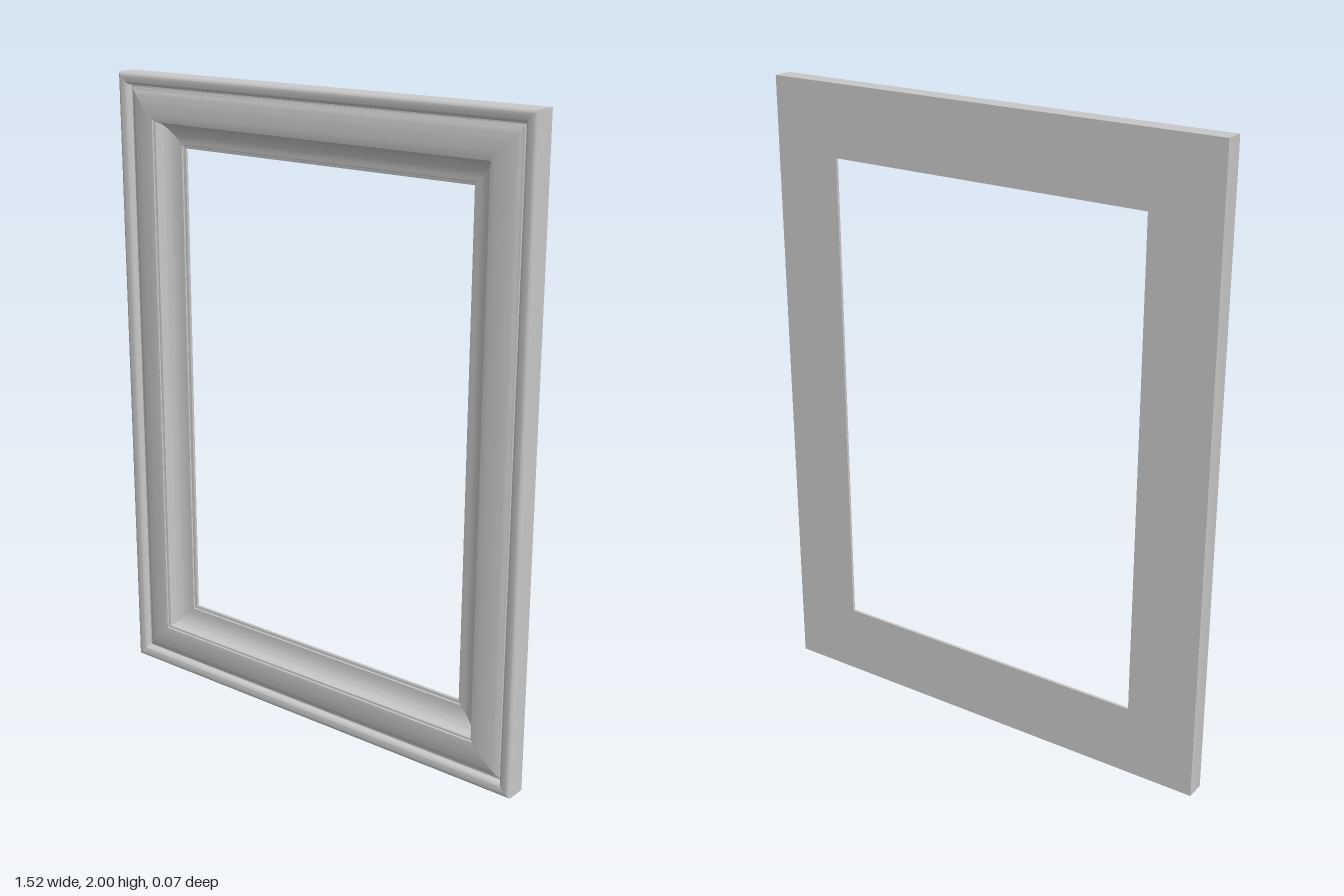
import * as THREE from 'three';
import { toCreasedNormals } from 'three/addons/utils/BufferGeometryUtils.js';

const HALF_W = 0.76, HALF_H = 1;

// Moulding profile: [distance in from the outer edge, z]
function mouldingProfile() {
  const p = [[0, -0.035], [0, 0.024]];
  const arc = (d0, z0, rd, rz, from, to, n) => {
    for (let i = 1; i <= n; i++) {
      const a = from + (to - from) * i / n;
      p.push([d0 + rd * Math.cos(a), z0 + rz * Math.sin(a)]);
    }
  };
  arc(0.011, 0.024, 0.011, 0.011, Math.PI, Math.PI / 2, 5);    // rounded outer rim
  p.push([0.022, 0.035]);
  arc(0.022, 0.023, 0.016, 0.012, Math.PI / 2, 0, 5);          // rim falls into groove
  p.push([0.040, 0.013], [0.047, 0.013], [0.047, 0.018]);      // groove and fillet
  arc(0.128, 0.018, 0.077, 0.013, Math.PI * 0.93, Math.PI / 2, 8); // broad swell
  p.push([0.138, 0.030], [0.139, 0.025], [0.146, 0.024]);      // small step
  arc(0.214, 0.020, 0.066, 0.041, Math.PI, Math.PI * 1.5, 10); // cove to the opening
  p.push([0.216, -0.025], [0.225, -0.026], [0.225, -0.035]);   // sight edge
  return p;
}

// One mitred bar of the frame; corners are [x sign, y sign], counter-clockwise
function barGeometry(profile, [ax, ay], [bx, by]) {
  const pos = [];
  const at = (sx, sy, [d, z]) => [sx * (HALF_W - d), HALF_H + sy * (HALF_H - d), z];
  profile.forEach((p, i) => {
    const q = profile[(i + 1) % profile.length];
    const a = at(ax, ay, p), b = at(bx, by, p), c = at(bx, by, q), d = at(ax, ay, q);
    pos.push(...a, ...b, ...c, ...a, ...c, ...d);
  });
  const g = new THREE.BufferGeometry();
  g.setAttribute('position', new THREE.Float32BufferAttribute(pos, 3));
  return toCreasedNormals(g, 0.55);
}

export function createModel() {
  const group = new THREE.Group();
  group.name = 'pictureFrame';
  const grey = new THREE.MeshStandardMaterial({ color: 0xc8c8c8 });
  grey.name = 'pale grey';

  const profile = mouldingProfile();
  const corners = [[-1, -1], [1, -1], [1, 1], [-1, 1]];
  ['bottomRail', 'leftStile', 'topRail', 'rightStile'].forEach((name, i) => {
    const mesh = new THREE.Mesh(barGeometry(profile, corners[i], corners[(i + 1) % 4]), grey);
    mesh.name = name;
    group.add(mesh);
  });
  return group;
}
